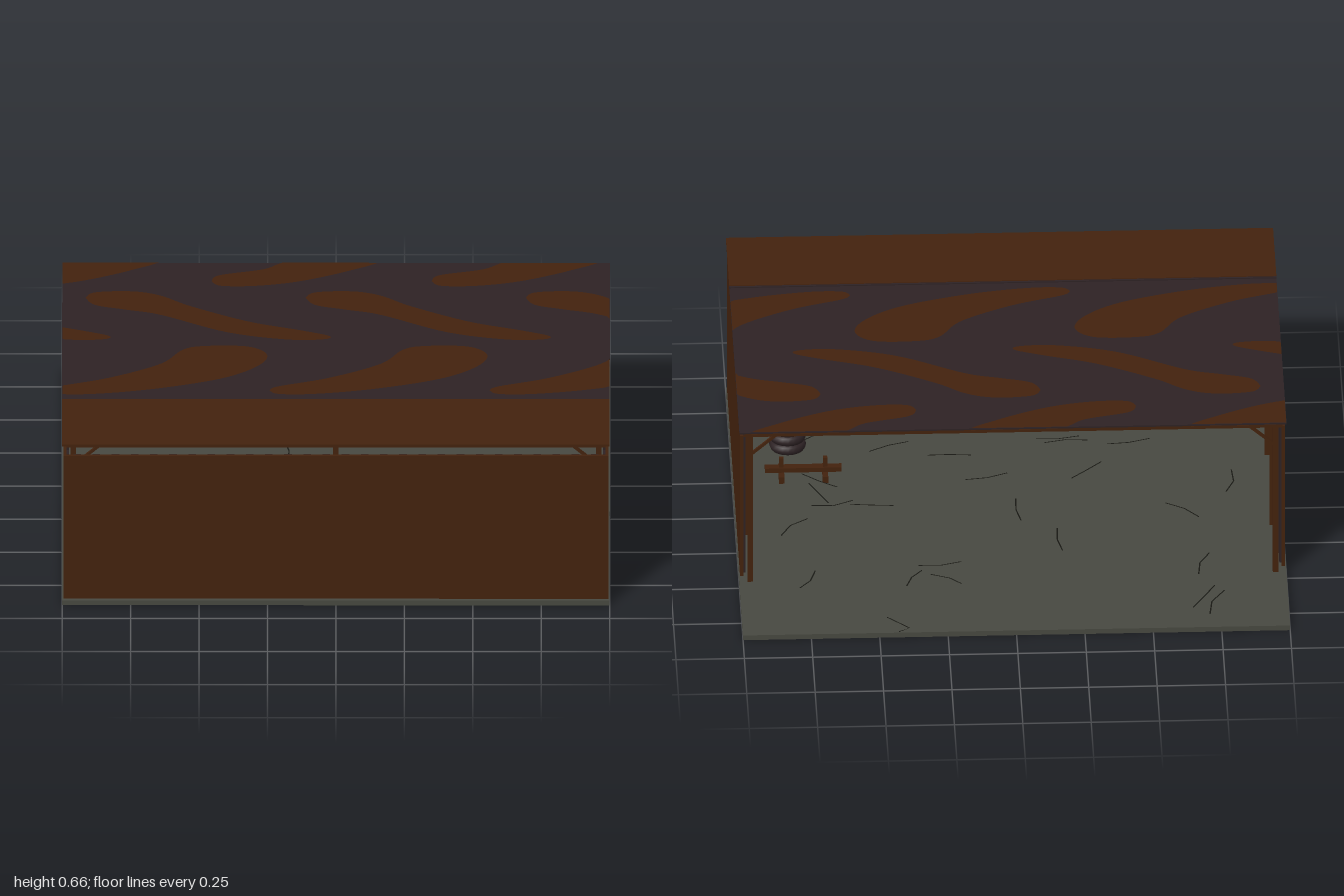
import * as THREE from 'three';

const mat = (name, color, side = THREE.FrontSide) => {
  const m = new THREE.MeshStandardMaterial({ color, side });
  m.name = name;
  return m;
};

export function createModel() {
  const root = new THREE.Group();
  root.name = 'shed';
  const brown = mat('rust brown', 0x43220d);
  const charcoal = mat('charcoal', 0x2d2224);
  const concrete = mat('concrete', 0x474840);
  const patchBrown = mat('patch brown', 0x43220d, THREE.DoubleSide);
  const crackDark = mat('crack black', 0x171713, THREE.DoubleSide);

  const add = (name, geo, material, x = 0, y = 0, z = 0, parent = root) => {
    const m = new THREE.Mesh(geo, material);
    m.name = name;
    m.position.set(x, y, z);
    parent.add(m);
    return m;
  };
  // box given by its minimum and maximum corners
  const box = (name, material, a, b, parent = root) => add(name,
    new THREE.BoxGeometry(b[0] - a[0], b[1] - a[1], b[2] - a[2]), material,
    (a[0] + b[0]) / 2, (a[1] + b[1]) / 2, (a[2] + b[2]) / 2, parent);

  // floor slab and three walls
  box('floor', concrete, [-1, 0, -0.87], [1, 0.02, 0.9]);
  box('frontWall', brown, [-0.996, 0.02, 0.874], [0.996, 0.615, 0.887]);
  for (const s of [-1, 1]) {
    const x = [s * 0.996, s * 0.984].sort((p, q) => p - q);
    box('sideWall', brown, [x[0], 0.02, -0.445], [x[1], 0.615, 0.874]);
  }

  // vertical battens lining the inside of the walls
  for (let z = -0.41; z < 0.86; z += 0.07)
    for (const s of [-1, 1])
      add('sideBatten', new THREE.BoxGeometry(0.008, 0.59, 0.028), charcoal, s * 0.98, 0.317, z);
  for (let x = -0.945; x < 0.96; x += 0.07)
    add('frontBatten', new THREE.BoxGeometry(0.028, 0.59, 0.008), charcoal, x, 0.317, 0.87);

  // post rows, cross beams and diagonal braces
  for (const z of [-0.48, -0.145, 0.355, 0.85]) {
    for (const x of z > 0.8 ? [-0.96, 0, 0.96] : [-0.96, 0.96])
      add('post', new THREE.BoxGeometry(0.02, 0.616, 0.016), brown, x, 0.328, z);
    box('crossBeam', brown, [-0.985, 0.636, z - 0.009], [0.985, 0.652, z + 0.009]);
    for (const s of [-1, 1]) {
      const brace = add('brace', new THREE.BoxGeometry(0.13, 0.01, 0.01), brown, s * 0.91, 0.6, z);
      brace.rotation.z = -s * 0.72;
    }
  }

  // roof: patterned rear panel and plain front panel
  box('rearRoof', charcoal, [-1, 0.652, -0.495], [1, 0.658, 0.55]);
  box('frontRoof', brown, [-1, 0.656, 0.545], [1, 0.664, 0.887]);
  box('roofSeam', charcoal, [-1, 0.658, 0.537], [1, 0.662, 0.545]);

  // repeating curved patches on both faces of the rear panel
  const patches = [
    [[-0.455, -0.355], [-0.425, -0.4], [-0.265, -0.445], [-0.15, -0.51], [0.15, -0.51],
      [0.05, -0.435], [-0.13, -0.355], [-0.29, -0.32], [-0.42, -0.32]],
    [[-0.915, -0.23], [-0.88, -0.27], [-0.745, -0.278], [-0.64, -0.245], [-0.53, -0.165], [-0.32, -0.05],
      [-0.13, 0.016], [-0.024, 0.06], [-0.05, 0.085], [-0.185, 0.085], [-0.4, 0.03], [-0.64, -0.1],
      [-0.77, -0.14], [-0.88, -0.175]],
    [[-0.243, 0.47], [-0.21, 0.44], [-0.024, 0.375], [0.163, 0.27], [0.243, 0.165], [0.325, 0.135],
      [0.485, 0.14], [0.553, 0.205], [0.51, 0.295], [0.375, 0.385], [0.136, 0.46], [-0.08, 0.497], [-0.21, 0.497]],
  ];
  for (const pts of patches)
    for (let k = -2; k <= 2; k++) {
      const curve = new THREE.SplineCurve([...pts, pts[0]].map(p => new THREE.Vector2(p[0] + k * 0.804, -p[1])));
      const outline = [];
      for (const p of curve.getPoints(90)) {
        const q = new THREE.Vector2(THREE.MathUtils.clamp(p.x, -0.999, 0.999), Math.min(p.y, 0.494));
        const last = outline[outline.length - 1];
        if (!last || last.distanceTo(q) > 0.002) outline.push(q);
      }
      if (outline.length < 6 || Math.abs(THREE.ShapeUtils.area(outline)) < 0.001) continue;
      const geo = new THREE.ShapeGeometry(new THREE.Shape(outline)).rotateX(-Math.PI / 2);
      for (const y of [0.6595, 0.6505]) add('roofPatch', geo, patchBrown, 0, y, 0);
    }

  // thin cracks across the floor
  const crack = pts => {
    const left = [], right = [];
    pts.forEach((p, i) => {
      const a = pts[Math.max(0, i - 1)], b = pts[Math.min(pts.length - 1, i + 1)];
      const dx = b[0] - a[0], dz = b[1] - a[1], w = 0.0025 / Math.hypot(dx, dz);
      left.push(new THREE.Vector2(p[0] - dz * w, -p[1] - dx * w));
      right.unshift(new THREE.Vector2(p[0] + dz * w, -p[1] + dx * w));
    });
    add('floorCrack', new THREE.ShapeGeometry(new THREE.Shape([...left, ...right])).rotateX(-Math.PI / 2),
      crackDark, 0, 0.0212, 0);
  };
  [
    [[-0.71, -0.78], [-0.72, -0.69], [-0.77, -0.61]],
    [[-0.65, -0.73], [-0.7, -0.64], [-0.735, -0.575]],
    [[0.43, -0.865], [0.39, -0.84], [0.47, -0.76]],
    [[0.19, -0.53], [0.23, -0.49], [0.3, -0.46]],
    [[0.39, -0.54], [0.37, -0.48], [0.33, -0.43]],
    [[0.78, -0.54], [0.74, -0.49], [0.72, -0.42]],
  ].forEach(crack);
  let seed = 11;
  const rnd = () => (seed = (seed * 16807) % 2147483647) / 2147483647;
  for (let i = 0; i < 20; i++) {
    const x = -0.8 + 1.6 * rnd(), z = -0.4 + 1.1 * rnd(), a = rnd() * 6.28, bend = rnd() - 0.5;
    const x1 = x + 0.08 * Math.cos(a), z1 = z + 0.08 * Math.sin(a);
    crack([[x, z], [x1, z1], [x1 + 0.08 * Math.cos(a + bend), z1 + 0.08 * Math.sin(a + bend)]]);
  }

  // stack of rings
  const stack = new THREE.Group();
  stack.name = 'ringStack';
  root.add(stack);
  for (let i = 0; i < 4; i++)
    add('ring', new THREE.TorusGeometry(0.048, 0.02, 8, 20).rotateX(Math.PI / 2), charcoal,
      0.79, 0.04 + i * 0.038, 0.46, stack);

  // small barrel
  add('barrel', new THREE.CylinderGeometry(0.045, 0.045, 0.12, 16), brown, 0.67, 0.08, 0.6);

  // low trestle with two cross pieces and short uprights
  const trestle = new THREE.Group();
  trestle.name = 'trestle';
  trestle.position.set(0.74, 0.02, 0.256);
  root.add(trestle);
  add('trestleBeam', new THREE.BoxGeometry(0.28, 0.018, 0.03), brown, 0, 0.035, 0, trestle);
  for (const s of [-1, 1]) {
    add('trestleFoot', new THREE.BoxGeometry(0.02, 0.026, 0.1), brown, s * 0.08, 0.013, 0, trestle);
    add('trestleUpright', new THREE.BoxGeometry(0.016, 0.04, 0.016), brown, s * 0.08, 0.062, 0, trestle);
  }
  return root;
}
